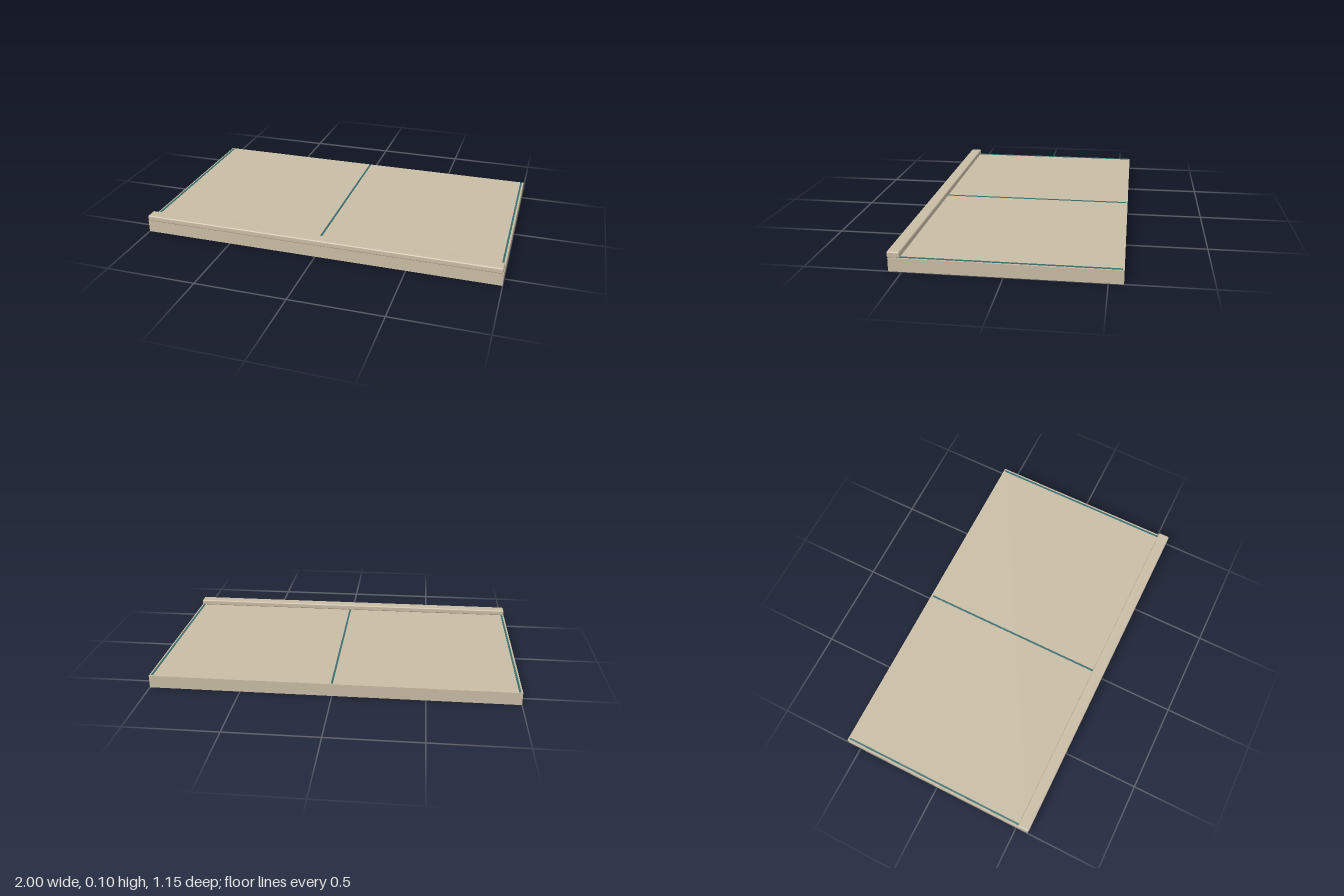
import * as THREE from 'three';
import { RoundedBoxGeometry } from 'three/addons/geometries/RoundedBoxGeometry.js';

export function createModel() {
  const group = new THREE.Group();
  const stone = new THREE.MeshStandardMaterial({ color: 0xc8bca4 });
  stone.name = 'beigeStone';
  const teal = new THREE.MeshStandardMaterial({ color: 0x3a6e70 });
  teal.name = 'tealLine';

  const add = (name, geometry, material, x, y, z) => {
    const mesh = new THREE.Mesh(geometry, material);
    mesh.name = name;
    mesh.position.set(x, y, z);
    group.add(mesh);
  };

  // Flat slab
  add('slab', new THREE.BoxGeometry(2, 0.07, 1.143), stone, 0, 0.035, -0.0025);

  // Raised kerb with softened edges along the front
  add('kerb', new RoundedBoxGeometry(1.996, 0.032, 0.066, 2, 0.007), stone, 0, 0.086, 0.541);

  // Thin painted lines running from the back to the kerb
  for (const [name, x] of [['rightLine', -0.985], ['centreLine', 0], ['leftLine', 0.985]]) {
    add(name, new THREE.BoxGeometry(0.01, 0.004, 1.075), teal, x, 0.071, -0.0275);
  }

  return group;
}
